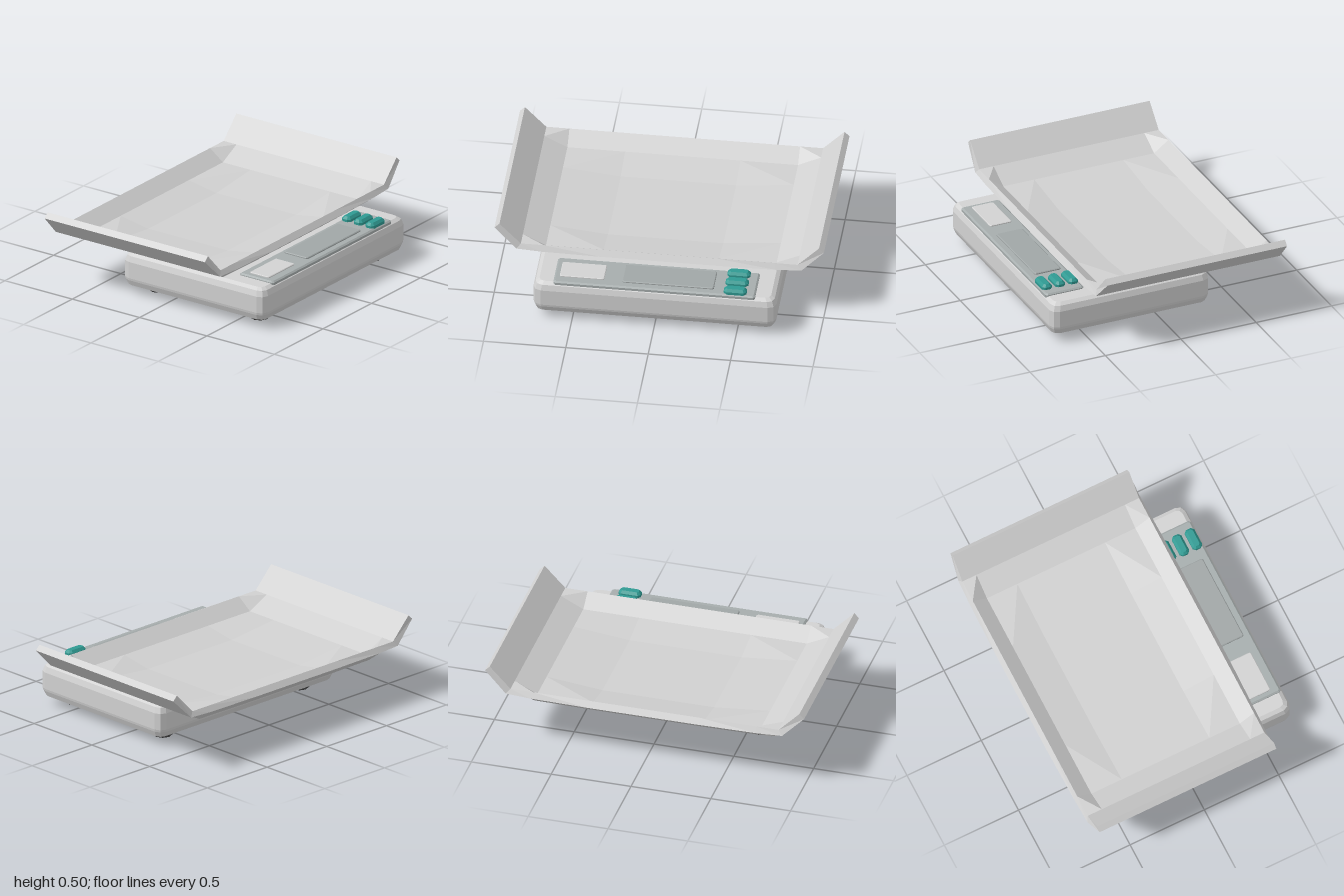
import * as THREE from 'three';
import { ConvexGeometry } from 'three/addons/geometries/ConvexGeometry.js';

const mat = (name, color) => {
  const m = new THREE.MeshStandardMaterial({ color });
  m.name = name;
  return m;
};

// Solid through stacked rounded rectangles: layers of [inset, y]
function roundedSlab(x0, x1, z0, z1, radius, layers, steps = 1) {
  const points = [];
  const cx = (x0 + x1) / 2, cz = (z0 + z1) / 2;
  const hx = (x1 - x0) / 2, hz = (z1 - z0) / 2;
  for (const [inset, y] of layers) {
    const r = Math.max(radius - inset * 0.5, 0.003);
    for (const sx of [-1, 1]) for (const sz of [-1, 1]) {
      for (let k = 0; k <= steps; k++) {
        const a = (k / steps) * Math.PI / 2;
        points.push(new THREE.Vector3(
          cx + sx * (hx - inset - r + r * Math.cos(a)), y,
          cz + sz * (hz - inset - r + r * Math.sin(a))));
      }
    }
  }
  return new ConvexGeometry(points);
}

// Faceted dished sheet with raised side wings and a thick edge
function trayGeometry() {
  const xs = [-0.97, -0.84, -0.70, -0.35, 0.35, 0.70, 0.84, 0.97];
  const zs = [-0.595, -0.50, -0.295, 0.295, 0.50, 0.595];
  const heightX = [0.505, 0.37, 0.30, 0.265];
  const heightZ = [0.37, 0.30, 0.265];
  const spread = [0.03, 0.025, 0.01, 0];
  const bulge = [0, 0.015, 0.02, 0.026];
  const ring = (i, n) => Math.min(i, n - 1 - i);
  const centreZ = -0.11;
  const pos = [];

  const top = (i, j) => [xs[i],
    Math.max(heightX[ring(i, 8)], heightZ[ring(j, 6)]), zs[j] + centreZ];
  const bottom = (i, j) => {
    const [x, y, z] = top(i, j), r = ring(i, 8);
    return [x + Math.sign(x) * spread[r], y - (r < 2 ? 0.03 : 0.035),
      z + Math.sign(zs[j]) * bulge[r]];
  };
  const quad = (a, b, c, d, alternate) => pos.push(
    ...(alternate ? [a, b, d, b, c, d] : [a, b, c, a, c, d]).flat());

  for (let i = 0; i < 7; i++) {
    for (let j = 0; j < 5; j++) {
      // fold lines cut across the corners in every quadrant
      const cut = (xs[i] + xs[i + 1]) * (zs[j] + zs[j + 1]) > 0;
      quad(top(i, j), top(i, j + 1), top(i + 1, j + 1), top(i + 1, j), cut);
      quad(bottom(i, j), bottom(i + 1, j), bottom(i + 1, j + 1), bottom(i, j + 1), cut);
    }
    quad(top(i, 5), bottom(i, 5), bottom(i + 1, 5), top(i + 1, 5));
    quad(top(i + 1, 0), bottom(i + 1, 0), bottom(i, 0), top(i, 0));
  }
  for (let j = 0; j < 5; j++) {
    quad(top(7, j + 1), bottom(7, j + 1), bottom(7, j), top(7, j));
    quad(top(0, j), bottom(0, j), bottom(0, j + 1), top(0, j + 1));
  }
  const g = new THREE.BufferGeometry();
  g.setAttribute('position', new THREE.Float32BufferAttribute(pos, 3));
  g.computeVertexNormals();
  return g;
}

export function createModel() {
  const model = new THREE.Group();
  model.name = 'weighingScale';
  const shell = mat('light grey shell', 0xd2d2d2);
  const steel = mat('tray grey', 0xd0d0d0);
  const panelGrey = mat('panel grey', 0xa6adad);
  const screenGrey = mat('screen grey', 0xa0a6a6);
  const teal = mat('teal', 0x2f9a92);
  const rubber = mat('dark rubber', 0x484848);

  const add = (name, geometry, material) => {
    const mesh = new THREE.Mesh(geometry, material);
    mesh.name = name;
    model.add(mesh);
    return mesh;
  };

  // Body with softened edges
  add('body', roundedSlab(-0.738, 0.738, -0.322, 0.728, 0.05, [
    [0.04, 0.045], [0.018, 0.055], [0.003, 0.09], [0, 0.105],
    [0, 0.21], [0.012, 0.245], [0.035, 0.26],
  ], 2), shell);

  // Weighing tray
  add('tray', trayGeometry(), steel);

  // Control panel with label plate and screen
  add('controlPanel', roundedSlab(-0.615, 0.61, 0.46, 0.713, 0.012,
    [[0, 0.25], [0, 0.265], [0.01, 0.273]]), panelGrey);
  add('labelPlate', roundedSlab(-0.582, -0.312, 0.513, 0.657, 0.008,
    [[0, 0.272], [0, 0.278], [0.004, 0.281]]), shell);
  add('screen', roundedSlab(-0.202, 0.354, 0.495, 0.668, 0.008,
    [[0, 0.272], [0, 0.279], [0.005, 0.283]]), screenGrey);

  // Push buttons
  for (const z of [0.5, 0.587, 0.674]) {
    add('button', roundedSlab(0.418, 0.556, z - 0.032, z + 0.032, 0.016,
      [[0, 0.27], [0, 0.288], [0.014, 0.304]]), teal);
  }

  // Feet
  for (const x of [-0.572, 0.572]) for (const z of [-0.172, 0.582]) {
    const profile = [[0, 0], [0.054, 0], [0.063, 0.008], [0.063, 0.05], [0, 0.05]]
      .map(([r, y]) => new THREE.Vector2(r, y));
    const g = new THREE.LatheGeometry(profile, 8).toNonIndexed();
    g.computeVertexNormals();
    add('foot', g, rubber).position.set(x, 0, z);
  }
  return model;
}
